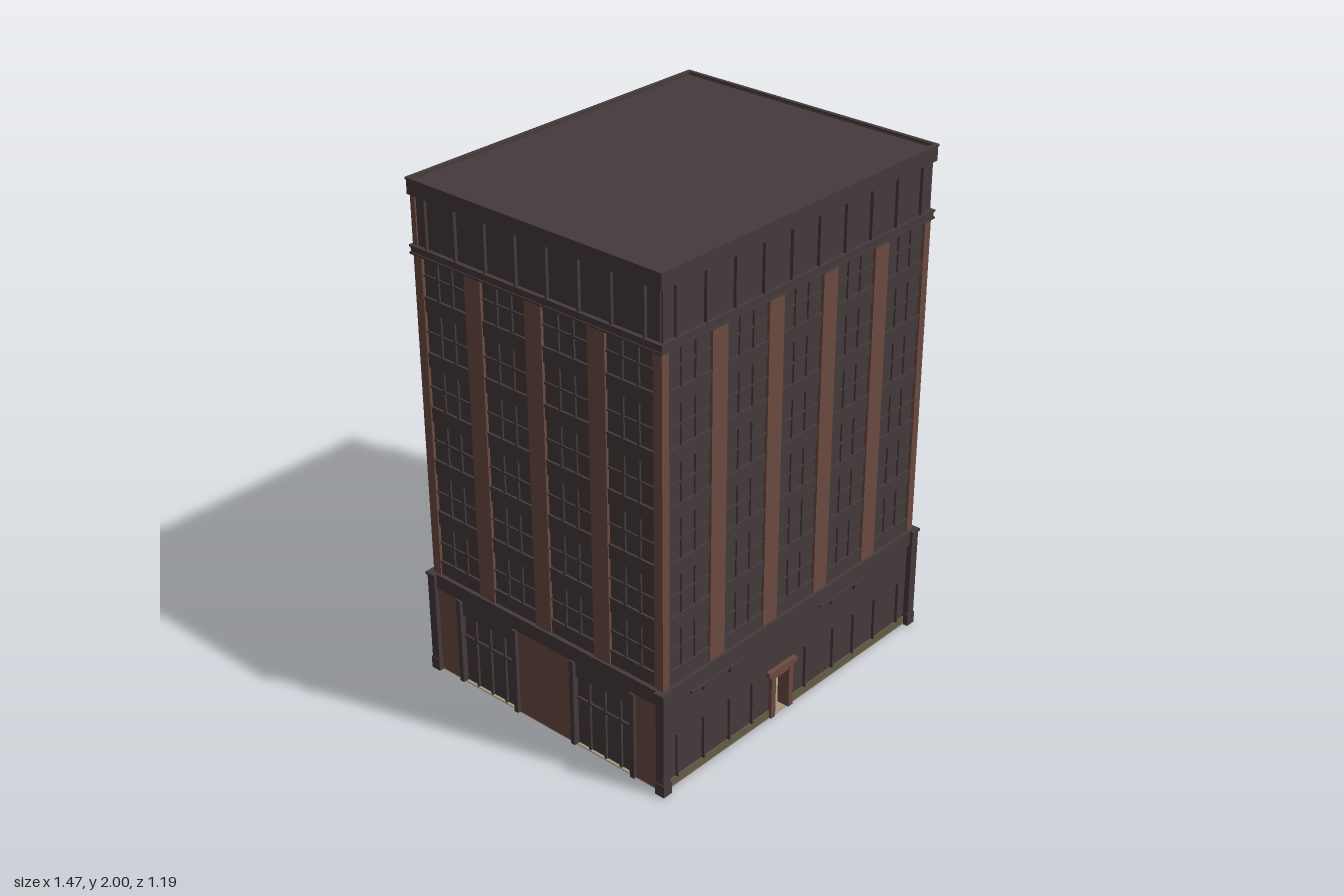
import * as THREE from 'three';

const mat = (name, color) => {
  const m = new THREE.MeshStandardMaterial({ color });
  m.name = name;
  return m;
};

export function createModel() {
  const brick = mat('brick', 0x6a4a40);
  const dark = mat('darkMetal', 0x453a3c);
  const olive = mat('oliveStone', 0x645c46);
  const tan = mat('tanFloor', 0xa4977a);

  const root = new THREE.Group();
  root.name = 'building';

  // Box from its min and max along each axis
  const box = (parent, name, m, x0, x1, y0, y1, z0, z1) => {
    const mesh = new THREE.Mesh(new THREE.BoxGeometry(x1 - x0, y1 - y0, z1 - z0), m);
    mesh.position.set((x0 + x1) / 2, (y0 + y1) / 2, (z0 + z1) / 2);
    mesh.name = name;
    parent.add(mesh);
    return mesh;
  };

  // Hollow shell: floor, roof and four walls, with an open doorway in front
  box(root, 'floor', tan, -0.712, 0.712, 0, 0.004, -0.572, 0.572);
  box(root, 'roof', dark, -0.706, 0.706, 1.95, 1.988, -0.566, 0.566);
  box(root, 'backWall', brick, -0.712, 0.712, 0.004, 1.95, -0.572, -0.55);
  box(root, 'rightWall', brick, 0.69, 0.712, 0.004, 1.95, -0.55, 0.562);
  box(root, 'leftWall', brick, -0.69, -0.675, 0.004, 1.95, -0.55, 0.55);
  box(root, 'frontWall', brick, -0.675, -0.11, 0.004, 1.95, 0.53, 0.55);
  box(root, 'frontWall', brick, -0.034, 0.69, 0.004, 1.95, 0.53, 0.55);
  box(root, 'wallOverDoor', brick, -0.11, -0.034, 0.17, 1.95, 0.53, 0.55);

  // Horizontal bands running all the way round
  const ring = (name, y0, y1, x, z) => {
    const g = new THREE.Group();
    g.name = name;
    root.add(g);
    const t = 0.016;
    for (const s of [-1, 1]) {
      const zc = s * (z - t / 2), xc = s * (x - t / 2);
      box(g, name + 'Long', dark, -x, x, y0, y1, zc - t / 2, zc + t / 2);
      box(g, name + 'Short', dark, xc - t / 2, xc + t / 2, y0, y1, -z + t, z - t);
    }
  };
  ring('parapet', 1.938, 1.992, 0.719, 0.579);
  ring('parapetCap', 1.992, 2, 0.722, 0.582);
  ring('upperCorniceFoot', 1.719, 1.726, 0.722, 0.582);
  ring('upperCornice', 1.726, 1.746, 0.718, 0.578);
  ring('upperCorniceLip', 1.746, 1.753, 0.722, 0.582);
  ring('baseBand', 0.365, 0.422, 0.718, 0.578);
  ring('baseBandLip', 0.422, 0.43, 0.722, 0.582);

  // Corner posts with caps and feet
  for (const sx of [-1, 1]) for (const sz of [-1, 1]) {
    const g = new THREE.Group();
    g.name = 'cornerPost';
    g.position.set(sx * 0.712, 0, sz * 0.572);
    root.add(g);
    box(g, 'postShaft', dark, -0.018, 0.018, 0.004, 0.42, -0.018, 0.018);
    box(g, 'postCap', dark, -0.023, 0.023, 0.42, 0.43, -0.023, 0.023);
    box(g, 'postFoot', dark, -0.021, 0.021, 0, 0.05, -0.021, 0.021);
  }

  // One column of windows, six storeys high; local z = 0 is the pier face
  const windowBay = (parent, u) => {
    const g = new THREE.Group();
    g.name = 'windowBay';
    g.position.x = u;
    parent.add(g);
    const w = 0.105, floors = 6, h = (1.722 - 0.43) / floors;
    box(g, 'glazing', dark, -w, w, 0.43, 1.722, -0.022, -0.012);
    for (let i = 0; i < floors; i++) {
      const y = 0.43 + i * h;
      box(g, 'spandrel', dark, -w, w, y, y + 0.05, -0.012, -0.006);
      box(g, 'sill', dark, -w, w, y + 0.05, y + 0.06, -0.012, -0.003);
      box(g, 'transom', dark, -w, w, y + 0.135, y + 0.143, -0.012, -0.006);
      for (const m of [-0.035, 0.035])
        box(g, 'mullion', dark, m - 0.005, m + 0.005, y + 0.06, y + h, -0.012, -0.005);
    }
  };

  // A decorated wall: window bays, brick piers and the finned attic band
  const facade = (name, half, bays, pitch, fins) => {
    const g = new THREE.Group();
    g.name = name;
    root.add(g);
    let edge = -half;
    for (let i = 0; i < bays; i++) {
      const u = (i - (bays - 1) / 2) * pitch;
      windowBay(g, u);
      box(g, 'pier', brick, edge, u - 0.105, 0.43, 1.722, -0.025, 0);
      edge = u + 0.105;
    }
    box(g, 'pier', brick, edge, half, 0.43, 1.722, -0.025, 0);
    box(g, 'atticWall', brick, -half + 0.01, half - 0.01, 1.75, 1.942, -0.025, -0.01);
    box(g, 'atticCladding', dark, -half, half, 1.75, 1.942, -0.01, -0.006);
    for (let i = 0; i < fins; i++) {
      const u = (i - (fins - 1) / 2) * 0.1433;
      box(g, 'atticFin', dark, u - 0.004, u + 0.004, 1.753, 1.94, -0.006, 0.006);
    }
    return g;
  };

  // Front: shop level with plinth, mullions and awning rails
  const front = facade('frontFacade', 0.712, 5, 0.2865, 10);
  front.position.z = 0.572;
  box(front, 'shopWallLeft', dark, -0.7, -0.125, 0.036, 0.366, -0.025, -0.005);
  box(front, 'shopWallRight', dark, -0.02, 0.7, 0.036, 0.366, -0.025, -0.005);
  box(front, 'shopWallOverDoor', dark, -0.125, -0.02, 0.2, 0.366, -0.025, -0.005);
  box(front, 'plinthLeft', olive, -0.7, -0.125, 0.004, 0.036, -0.025, 0);
  box(front, 'plinthRight', olive, -0.02, 0.7, 0.004, 0.036, -0.025, 0);
  for (const u of [-0.64, -0.5, -0.36, -0.235, 0.07, 0.235, 0.36, 0.49, 0.64])
    box(front, 'shopMullion', dark, u - 0.004, u + 0.004, 0.036, 0.215, -0.005, 0.006);
  for (const u of [-0.43, 0.285]) {
    box(front, 'awningRail', dark, u - 0.14, u + 0.14, 0.352, 0.36, -0.005, 0.008);
    for (const d of [-0.07, 0.07])
      box(front, 'awningBracket', dark, u + d - 0.004, u + d + 0.004, 0.33, 0.352, -0.005, 0.007);
  }

  // Brick surround of the open doorway
  for (const u of [-0.122, -0.022])
    box(front, 'doorJamb', brick, u - 0.012, u + 0.012, 0.004, 0.19, -0.025, 0.01);
  box(front, 'doorHead', brick, -0.11, -0.034, 0.17, 0.19, -0.025, 0.007);
  box(front, 'doorCornice', brick, -0.15, 0.006, 0.19, 0.212, -0.025, 0.014);

  // Side: two dark service bays between brick panels and slim pipes
  const side = facade('sideFacade', 0.572, 4, 0.286, 8);
  side.rotation.y = -Math.PI / 2;
  side.position.x = -0.712;
  const panels = [[-0.56, -0.435], [-0.145, 0.145], [0.435, 0.56]];
  for (const [a, b] of panels)
    box(side, 'brickPanel', brick, a, b, 0.004, 0.366, -0.025, 0);
  for (const u of [-0.29, 0.29]) {
    box(side, 'serviceBay', dark, u - 0.145, u + 0.145, 0.004, 0.366, -0.022, -0.012);
    box(side, 'bayLintel', dark, u - 0.145, u + 0.145, 0.3, 0.366, -0.012, 0);
    box(side, 'bayRail', dark, u - 0.145, u + 0.145, 0.2, 0.21, -0.012, -0.004);
    for (const d of [-0.075, 0, 0.075])
      box(side, 'bayMullion', dark, u + d - 0.005, u + d + 0.005, 0.004, 0.3, -0.012, -0.003);
  }
  for (const u of [-0.435, -0.145, 0.145, 0.435])
    box(side, 'pipe', dark, u - 0.01, u + 0.01, 0.004, 0.366, -0.01, 0.014);

  return root;
}
